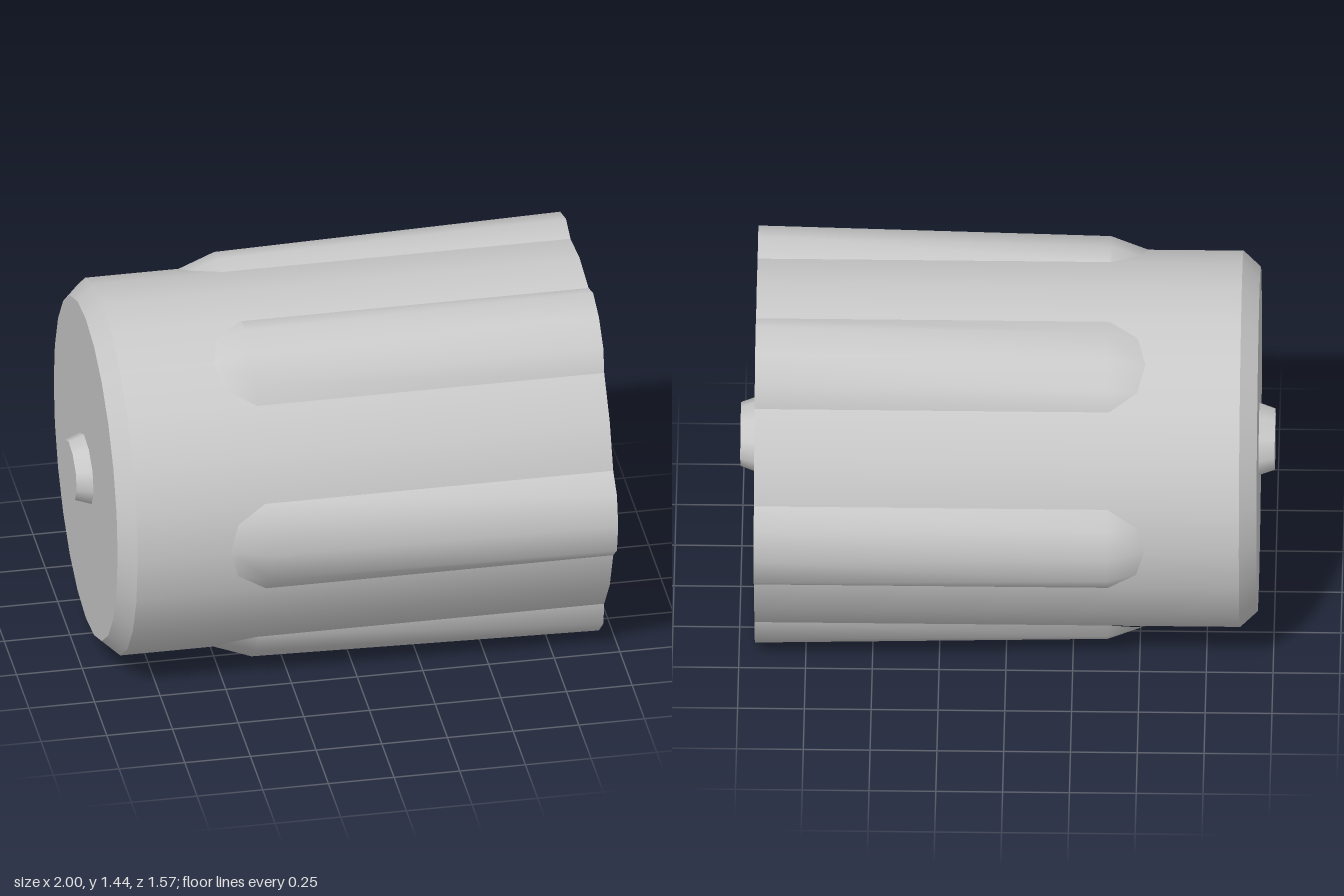
import * as THREE from 'three';

const AXIS_Y = 0.72;
const RADIUS = 0.71;
const FRONT = -0.94, CHAMFER = -0.875, END = 0.94;
const rad = THREE.MathUtils.degToRad;

// Raised rib with a tapered nose, running along x and centred on +z
function ribGeometry() {
  const angles = [-15, -9, 0, 9, 15].map(rad);
  const rows = [
    { x: [-0.385, -0.49, -0.52, -0.49, -0.385], r: [0.71, 0.709, 0.71, 0.709, 0.71] },
    { x: Array(5).fill(-0.38), r: [0.71, 0.745, 0.76, 0.745, 0.71] },
    { x: Array(5).fill(END), r: [0.71, 0.77, 0.787, 0.77, 0.71] },
  ];
  rows.push(rows[2]); // repeated row keeps the end face sharp
  const positions = [], index = [];
  for (const row of rows) {
    angles.forEach((a, c) => positions.push(row.x[c], row.r[c] * Math.sin(a), row.r[c] * Math.cos(a)));
  }
  for (let r = 0; r < 2; r++) {
    for (let c = 0; c < 4; c++) {
      const i = r * 5 + c;
      index.push(i, i + 5, i + 1, i + 1, i + 5, i + 6);
    }
  }
  for (let c = 1; c < 4; c++) index.push(15, 15 + c + 1, 15 + c); // end face
  const geometry = new THREE.BufferGeometry();
  geometry.setAttribute('position', new THREE.Float32BufferAttribute(positions, 3));
  geometry.setIndex(index);
  geometry.computeVertexNormals();
  return geometry;
}

// Cylinder section lying along x between two positions
function section(x0, x1, r0, r1, sides, open, start = 0) {
  const geometry = new THREE.CylinderGeometry(r1, r0, x1 - x0, sides, 1, open, start);
  geometry.rotateZ(-Math.PI / 2);
  geometry.translate((x0 + x1) / 2, 0, 0);
  return geometry;
}

export function createModel() {
  const model = new THREE.Group();
  model.name = 'flutedDrum';
  const metal = new THREE.MeshStandardMaterial({ color: 0xc8c8c8 });
  metal.name = 'light grey metal';

  const drum = new THREE.Group();
  drum.name = 'drum';
  drum.position.y = AXIS_Y;
  model.add(drum);
  const add = (name, geometry) => {
    const mesh = new THREE.Mesh(geometry, metal);
    mesh.name = name;
    drum.add(mesh);
    return mesh;
  };

  // Main barrel and its bevelled rim, each closed with flat discs
  add('barrel', section(CHAMFER, END, RADIUS, RADIUS, 24, false));
  add('bevelledRim', section(FRONT, CHAMFER, 0.65, RADIUS, 24, false));

  // Six ribs around the barrel
  const rib = ribGeometry();
  for (let i = 0; i < 6; i++) add('rib' + (i + 1), rib).rotation.x = i * Math.PI / 3;

  // Tapered oval axle stubs at both ends
  const stub = section(END, 1, 0.162, 0.137, 10, false, rad(30));
  stub.scale(1, 0.79, 1);
  add('leftAxleStub', stub);
  add('rightAxleStub', stub).rotation.y = Math.PI;

  return model;
}
